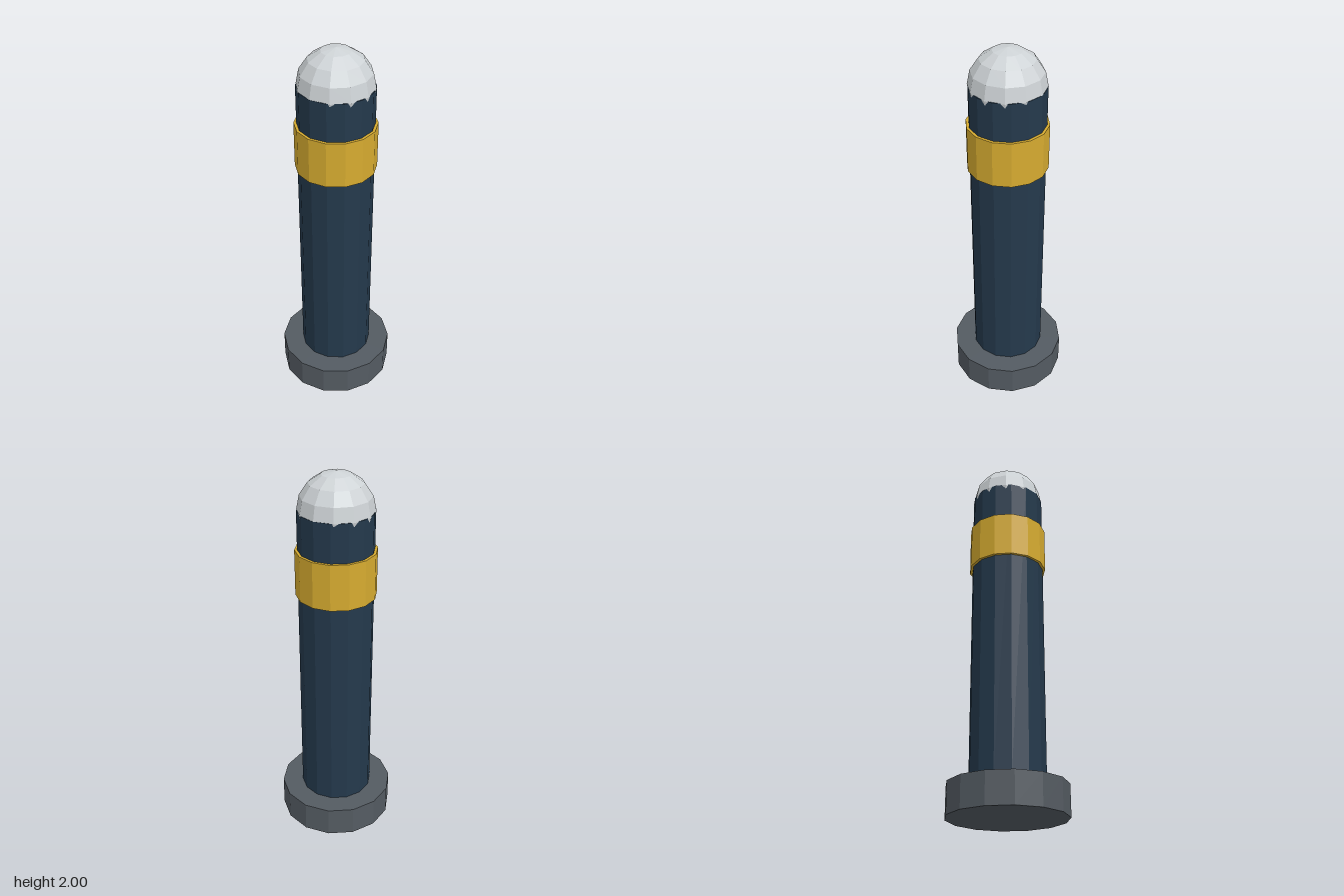
import * as THREE from 'three';

const SIDES = 14;

function material(name, color) {
  const m = new THREE.MeshStandardMaterial({ color, flatShading: true });
  m.name = name;
  return m;
}

export function createModel() {
  const group = new THREE.Group();
  group.name = 'bollard';

  const grey = material('dark grey', 0x545b62);
  const navy = material('navy', 0x24394c);
  const gold = material('gold', 0xd6ab30);
  const silver = material('pale silver', 0xced3d6);

  // Upright faceted drum between two heights
  function drum(name, radius, bottom, top, mat) {
    const mesh = new THREE.Mesh(
      new THREE.CylinderGeometry(radius, radius, top - bottom, SIDES), mat);
    mesh.position.y = (bottom + top) / 2;
    mesh.name = name;
    group.add(mesh);
  }

  drum('base', 0.308, 0, 0.165, grey);
  drum('post', 0.195, 0.165, 1.807, navy);
  drum('band', 0.209, 1.36, 1.605, gold);

  // Rounded cap, its lower half sunk into the post
  const cap = new THREE.Mesh(new THREE.SphereGeometry(0.195, 12, 8), silver);
  cap.position.y = 1.805;
  cap.name = 'domeCap';
  group.add(cap);

  return group;
}
